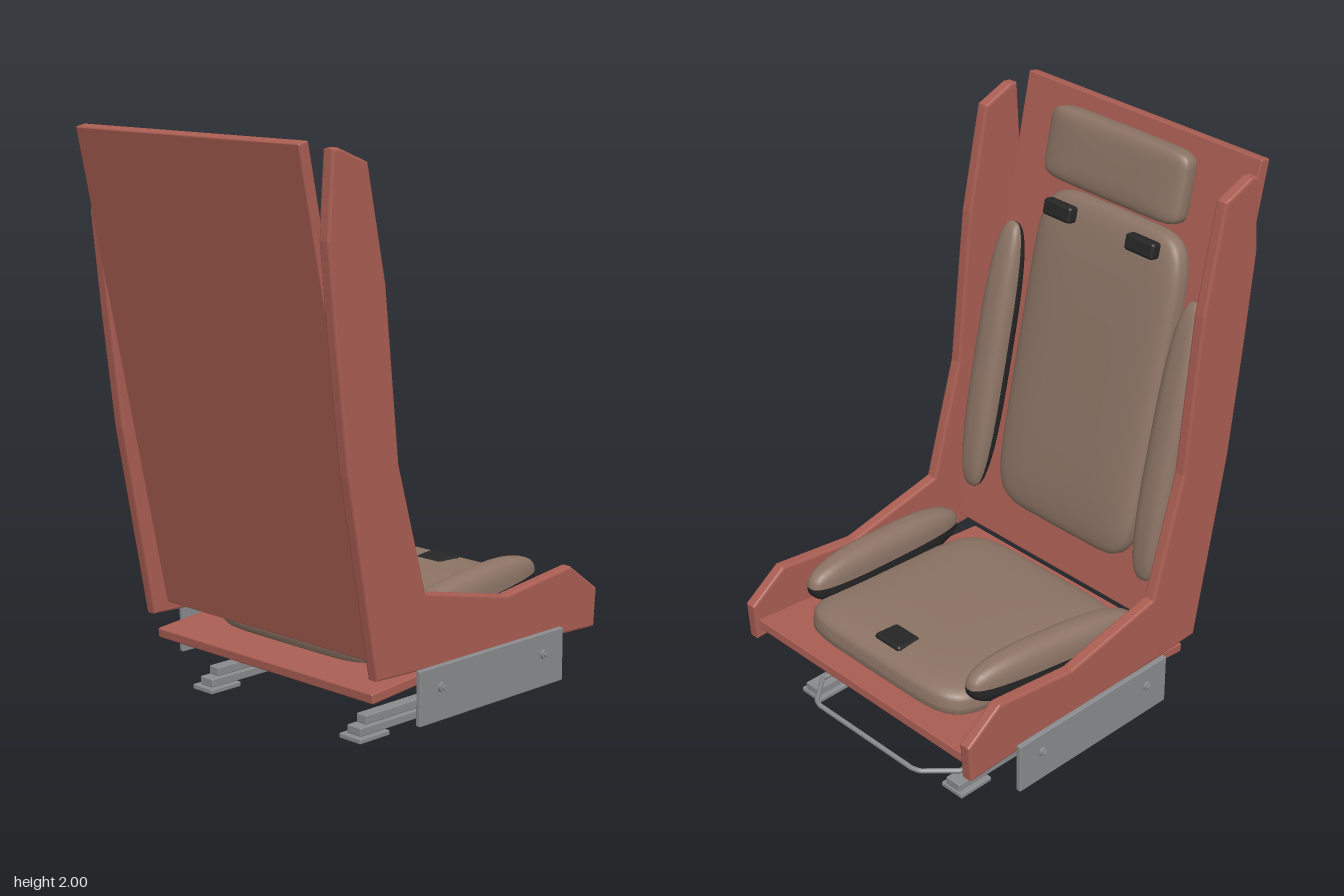
import * as THREE from 'three';
import { mergeVertices } from 'three/addons/utils/BufferGeometryUtils.js';
import { RoundedBoxGeometry } from 'three/addons/geometries/RoundedBoxGeometry.js';

export function createModel() {
  const model = new THREE.Group();
  model.name = 'bucketSeat';
  const mat = (name, color) => {
    const m = new THREE.MeshStandardMaterial({ color });
    m.name = name;
    return m;
  };
  const red = mat('red shell', 0xaa5e53);
  const brown = mat('brown fabric', 0x8c7465);
  const metal = mat('grey metal', 0x898b8d);
  const black = mat('black trim', 0x262626);

  const add = (name, geo, material, x, y, z, tilt = 0, yaw = 0) => {
    const m = new THREE.Mesh(geo, material);
    m.name = name;
    m.position.set(x, y, z);
    m.rotation.set(0, yaw, tilt);
    model.add(m);
    return m;
  };
  const box = (w, h, d, r = 0.006) => new RoundedBoxGeometry(w, h, d, 2, r);

  // Padded shape: half of a superellipsoid, y is the padding direction
  const halfPad = (lx, h, lz, eOut, eUp, bottom) => {
    const g = new THREE.SphereGeometry(1, 48, 12, 0, Math.PI * 2, bottom ? Math.PI / 2 : 0, Math.PI / 2);
    g.deleteAttribute('uv');
    g.deleteAttribute('normal');
    const pw = (v, e) => Math.sign(v) * Math.pow(Math.abs(v), e);
    const p = g.attributes.position;
    for (let i = 0; i < p.count; i++) {
      const x = p.getX(i), y = p.getY(i), z = p.getZ(i);
      const r = Math.hypot(x, z);
      const k = r < 1e-5 ? 0 : pw(r, eUp);
      const c = r < 1e-5 ? 0 : x / r, s = r < 1e-5 ? 0 : z / r;
      p.setXYZ(i, lx * k * pw(c, eOut), h * pw(y, eUp), lz * k * pw(s, eOut));
    }
    const merged = mergeVertices(g, 1e-5);
    merged.computeVertexNormals();
    return merged;
  };
  const pad = (name, [lx, up, down, lz], [eOut, eUp], under, x, y, z, tilt, yaw = 0) => {
    add(name, halfPad(lx, up, lz, eOut, eUp, false), brown, x, y, z, tilt, yaw);
    add(name + 'Underside', halfPad(lx, down, lz, eOut, eUp, true), under, x, y, z, tilt, yaw);
  };

  const seatTilt = 0.087;
  const backTilt = -1.36; // local x runs down the backrest, local y faces forward

  // Side panels
  const outline = [[-0.395, 0.275], [-0.525, 0.96], [-0.575, 1.36], [-0.612, 1.7], [-0.593, 1.97],
    [-0.575, 1.972], [-0.457, 1.925], [-0.377, 1.545], [-0.315, 0.965], [-0.185, 0.512],
    [0.22, 0.423], [0.555, 0.462], [0.692, 0.363], [0.683, 0.235]];
  const sideShape = new THREE.Shape(outline.map(([x, y]) => new THREE.Vector2(x, y)));
  const sideGeo = new THREE.ExtrudeGeometry(sideShape, {
    depth: 0.029, bevelEnabled: true, bevelThickness: 0.008, bevelSize: 0.008, bevelSegments: 2,
  });
  sideGeo.translate(0, 0, -0.0145);
  for (const s of [1, -1]) add(s > 0 ? 'rightSidePanel' : 'leftSidePanel', sideGeo, red, 0, 0, s * 0.55);

  // Back and seat boards
  add('backBoard', box(1.735, 0.042, 1.066), red, -0.503, 1.152, 0, backTilt);
  add('seatBoard', box(1.07, 0.036, 1.066), red, 0.148, 0.242, 0, seatTilt);

  // Main cushions
  pad('seatCushion', [0.44, 0.085, 0.05, 0.41], [0.32, 0.5], brown, 0.17, 0.305, 0, seatTilt);
  pad('backCushion', [0.61, 0.07, 0.045, 0.338], [0.28, 0.5], brown, -0.452, 1.08, 0, backTilt);
  pad('headrest', [0.13, 0.05, 0.05, 0.316], [0.25, 0.5], brown, -0.562, 1.85, 0, backTilt);

  // Side bolsters with dark undersides
  for (const s of [1, -1]) {
    pad('seatBolster', [0.375, 0.095, 0.095, 0.062], [0.7, 0.8], black, 0.17, 0.402, s * 0.428, seatTilt, s * 0.07);
    pad('backBolster', [0.52, 0.06, 0.06, 0.067], [0.65, 0.8], black, -0.385, 1.0, s * 0.432, backTilt);
  }

  // Belt guides
  for (const s of [1, -1])
    add('shoulderBeltGuide', box(0.06, 0.045, 0.13, 0.012), black, -0.48, 1.637, s * 0.193, backTilt);
  add('lapBeltGuide', box(0.105, 0.04, 0.126, 0.012), black, 0.492, 0.398, 0, seatTilt);

  // Mounting plates, bolts and sliding rails
  const boltGeo = new THREE.CylinderGeometry(0.017, 0.017, 0.012, 12).rotateX(Math.PI / 2);
  const studGeo = new THREE.CylinderGeometry(0.009, 0.009, 0.02, 10).rotateX(Math.PI / 2);
  for (const s of [1, -1]) {
    add('mountingPlate', box(0.72, 0.19, 0.02, 0.004), metal, 0.13, 0.175, s * 0.588);
    for (const x of [-0.13, 0.385]) {
      add('plateBolt', boltGeo, metal, x, 0.197, s * 0.603);
      add('boltStud', studGeo, metal, x, 0.197, s * 0.608);
    }
    add('upperRail', box(0.77, 0.032, 0.045, 0.004), metal, 0.115, 0.065, s * 0.368);
    add('lowerRail', box(0.89, 0.03, 0.065, 0.004), metal, 0.14, 0.032, s * 0.368);
    for (const x of [-0.255, 0.52])
      add('railFoot', box(0.14, 0.018, 0.1, 0.004), metal, x, 0.009, s * 0.368);
    for (const x of [-0.255, 0.53])
      add('footBolt', new THREE.CylinderGeometry(0.016, 0.016, 0.006, 10), black, x, 0.001 + 0.003, s * 0.368);
  }

  // Release bar joining the rails
  const bar = new THREE.CurvePath();
  const pts = [[0.47, 0.062, 0.36], [0.54, 0.062, 0.36], [0.645, 0.068, 0.27],
    [0.655, 0.069, 0.24], [0.655, 0.069, -0.24], [0.645, 0.068, -0.27],
    [0.54, 0.062, -0.36], [0.47, 0.062, -0.36]].map((p) => new THREE.Vector3(...p));
  for (let i = 1; i < pts.length; i++) bar.add(new THREE.LineCurve3(pts[i - 1], pts[i]));
  add('releaseBar', new THREE.TubeGeometry(bar, 80, 0.009, 8, false), metal, 0, 0, 0);

  // Slight sideways shift of the whole seat
  for (const part of model.children) part.position.z -= 0.003;
  return model;
}
